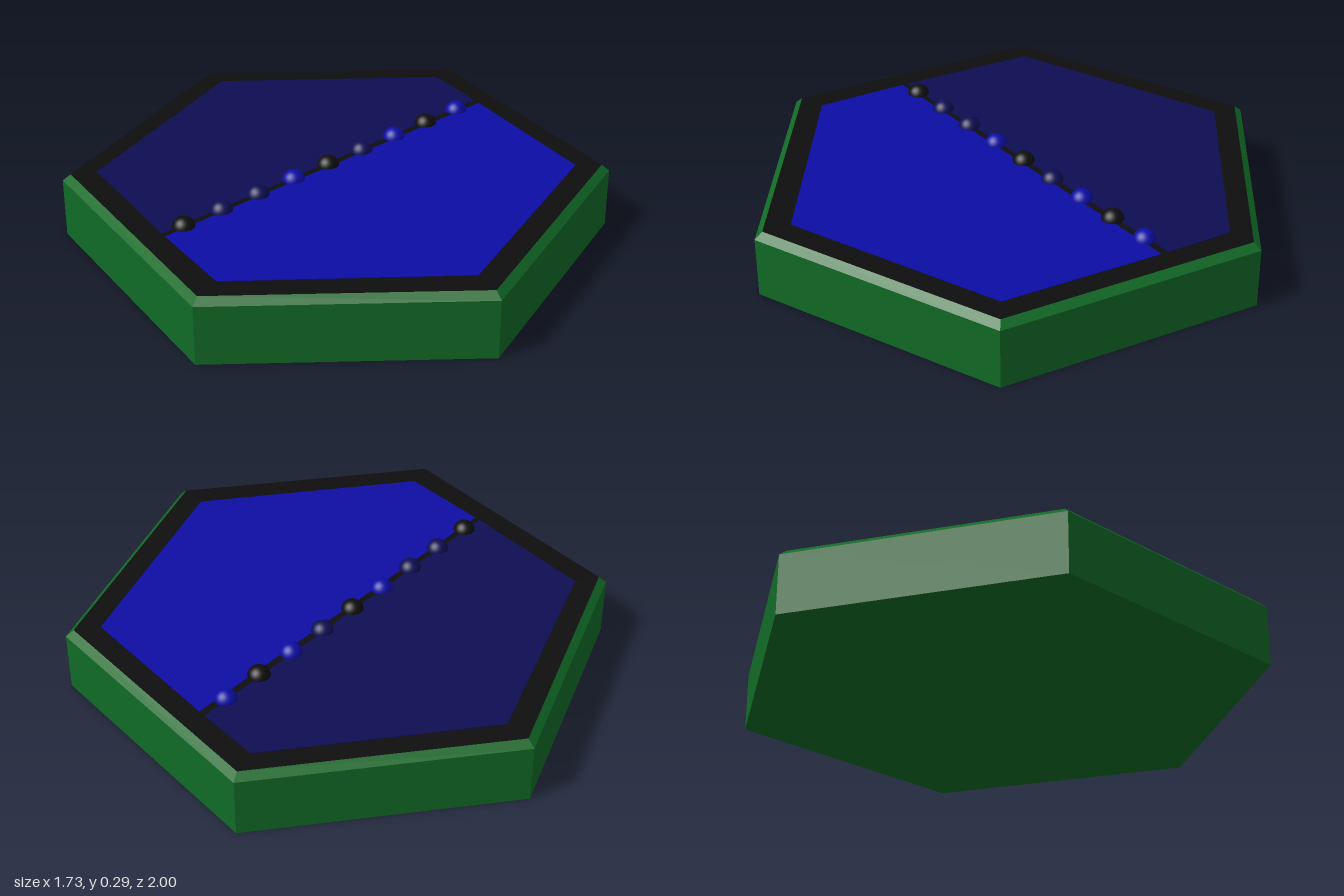
import * as THREE from 'three';

const mat = (name, color) => Object.assign(new THREE.MeshStandardMaterial({ color }), { name });

export function createModel() {
  const green = mat('green', 0x116b27);
  const black = mat('black', 0x0e0e0e);
  const navy = mat('navy', 0x0e0e54);
  const blue = mat('blue', 0x0d0da5);

  const model = new THREE.Group();
  model.name = 'hexagonTile';
  const TOP = 0.25;

  const add = (name, geometry, material, x = 0, y = 0, z = 0) => {
    const mesh = new THREE.Mesh(geometry, material);
    mesh.name = name;
    mesh.position.set(x, y, z);
    model.add(mesh);
    return mesh;
  };

  // Hexagonal body with a chamfered rim, faceted
  const profile = [[0, 0], [1, 0], [1, 0.225], [0.97, TOP]].map(p => new THREE.Vector2(...p));
  const body = new THREE.LatheGeometry(profile, 6).toNonIndexed();
  body.computeVertexNormals();
  add('body', body, green);

  // Black top face, seen as the border and the dividing line
  const cap = new THREE.CircleGeometry(0.97, 6, Math.PI / 2).rotateX(-Math.PI / 2);
  add('border', cap, black, 0, TOP, 0);

  // Two thin coloured fields, outlined as [x, z]
  const field = (name, points, material) => {
    const shape = new THREE.Shape(points.map(([x, z]) => new THREE.Vector2(x, -z)));
    const plate = new THREE.ExtrudeGeometry(shape, { depth: 0.002, bevelEnabled: false });
    add(name, plate.rotateX(-Math.PI / 2), material, 0, TOP, 0);
  };
  field('darkField', [[-0.01, -0.875], [0.21, -0.755], [-0.315, 0.69], [-0.765, 0.425], [-0.755, -0.44]], navy);
  field('brightField', [[0.235, -0.74], [0.757, -0.435], [0.752, 0.43], [0.01, 0.865], [-0.295, 0.7]], blue);

  // Row of half-sunken beads along the dividing line, back to front
  const bead = new THREE.SphereGeometry(0.042, 24, 16);
  const colors = [blue, black, blue, navy, black, blue, navy, navy, black];
  colors.forEach((material, i) => {
    const t = i / (colors.length - 1);
    add('bead' + (i + 1), bead, material,
      THREE.MathUtils.lerp(0.18, -0.277, t), 0.245, THREE.MathUtils.lerp(-0.645, 0.61, t));
  });

  return model;
}
